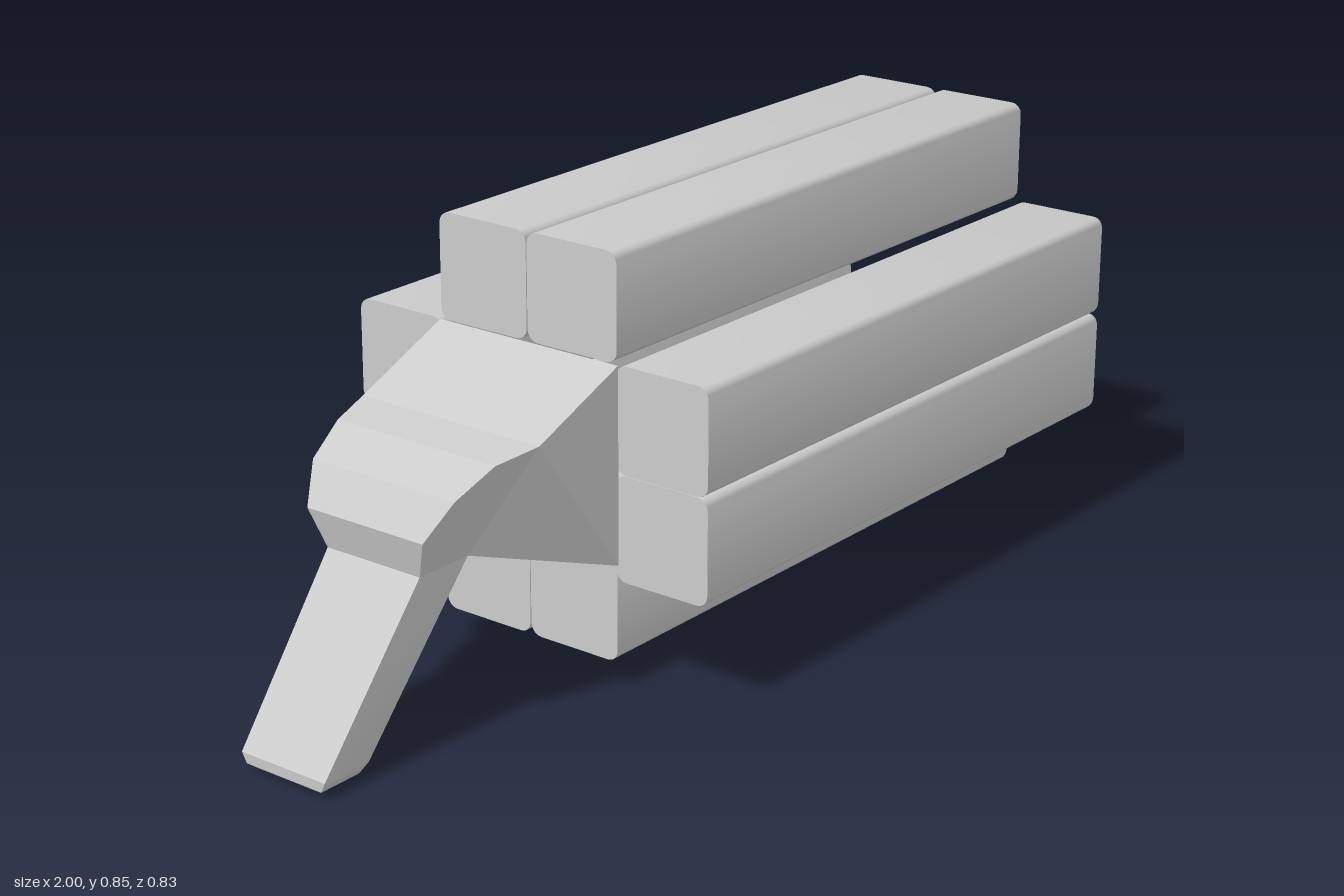
import * as THREE from 'three';
import { toCreasedNormals } from 'three/addons/utils/BufferGeometryUtils.js';

const material = new THREE.MeshStandardMaterial({ color: 0xcccccc });

// Skin a list of equal-length rings of [x, y, z] points and cap both ends.
function loft(rings, creaseAngle) {
  const n = rings[0].length;
  const index = [];
  for (let s = 0; s < rings.length - 1; s++) {
    for (let i = 0; i < n; i++) {
      const j = (i + 1) % n;
      const a = s * n + i, b = s * n + j;
      index.push(a, b, b + n, a, b + n, a + n);
    }
  }
  const last = (rings.length - 1) * n;
  for (let i = 1; i < n - 1; i++) {
    index.push(0, i + 1, i, last, last + i, last + i + 1);
  }
  const geometry = new THREE.BufferGeometry();
  geometry.setAttribute('position', new THREE.Float32BufferAttribute(rings.flat(2), 3));
  geometry.setIndex(index);
  return toCreasedNormals(geometry, creaseAngle);
}

// Rounded square in the y-z plane.
function squareRing(x, half, radius, segments = 4) {
  const ring = [];
  for (let corner = 0; corner < 4; corner++) {
    const mid = Math.PI / 4 + corner * Math.PI / 2;
    const cy = Math.sign(Math.cos(mid)) * (half - radius);
    const cz = Math.sign(Math.sin(mid)) * (half - radius);
    for (let k = 0; k <= segments; k++) {
      const angle = (corner + k / segments) * Math.PI / 2;
      ring.push([x, cy + radius * Math.cos(angle), cz + radius * Math.sin(angle)]);
    }
  }
  return ring;
}

function addMesh(parent, name, geometry) {
  const mesh = new THREE.Mesh(geometry, material);
  mesh.name = name;
  parent.add(mesh);
  return mesh;
}

export function createModel() {
  const model = new THREE.Group();
  model.name = 'multiTubeLauncher';

  // Square tubes: closed at the rear, softened lip, deep square bore
  const tubeGeometry = loft([
    squareRing(-0.34, 0.104, 0.023),
    squareRing(0.986, 0.104, 0.023),
    squareRing(0.992, 0.102, 0.021),
    squareRing(0.997, 0.097, 0.016),
    squareRing(1.0, 0.09, 0.009),
    squareRing(1.0, 0.083, 0.001),
    squareRing(-0.3, 0.083, 0.001),
  ], 0.7);

  // Pairs above and below, and stacked pairs on both sides
  const tubes = new THREE.Group();
  tubes.name = 'tubes';
  for (const side of [-1, 1]) {
    for (const [y, z] of [[0.741, 0.105], [0.16, 0.105], [0.533, 0.311], [0.324, 0.311]]) {
      addMesh(tubes, 'tube', tubeGeometry).position.set(0, y, side * z);
    }
  }
  model.add(tubes);

  // Rear housing: [top x, top y, top half width, bottom x, bottom y, bottom half width]
  const housing = [
    [-0.34, 0.635, 0.212, -0.34, 0.25, 0.212],
    [-0.555, 0.545, 0.21, -0.635, 0.34, 0.11],
    [-0.645, 0.53, 0.187, -0.68, 0.34, 0.11],
    [-0.73, 0.485, 0.168, -0.72, 0.34, 0.11],
    [-0.78, 0.415, 0.137, -0.76, 0.34, 0.11],
  ].map(([tx, ty, tw, bx, by, bw]) => [[bx, by, bw], [tx, ty, tw], [tx, ty, -tw], [bx, by, -bw]]);
  addMesh(model, 'rearHousing', loft(housing, 0.1));

  // Slanted grip: [rear x, front x, y, half width], rounded off at its foot
  const grip = [
    [-0.76, -0.635, 0.34, 0.11],
    [-1.0, -0.89, 0.035, 0.1],
    [-0.999, -0.905, 0.015, 0.09],
    [-0.985, -0.92, 0.004, 0.075],
    [-0.965, -0.935, 0, 0.06],
  ].map(([x0, x1, y, w]) => [[x0, y, -w], [x1, y, -w], [x1, y, w], [x0, y, w]]);
  addMesh(model, 'grip', loft(grip, 0.5));

  return model;
}
